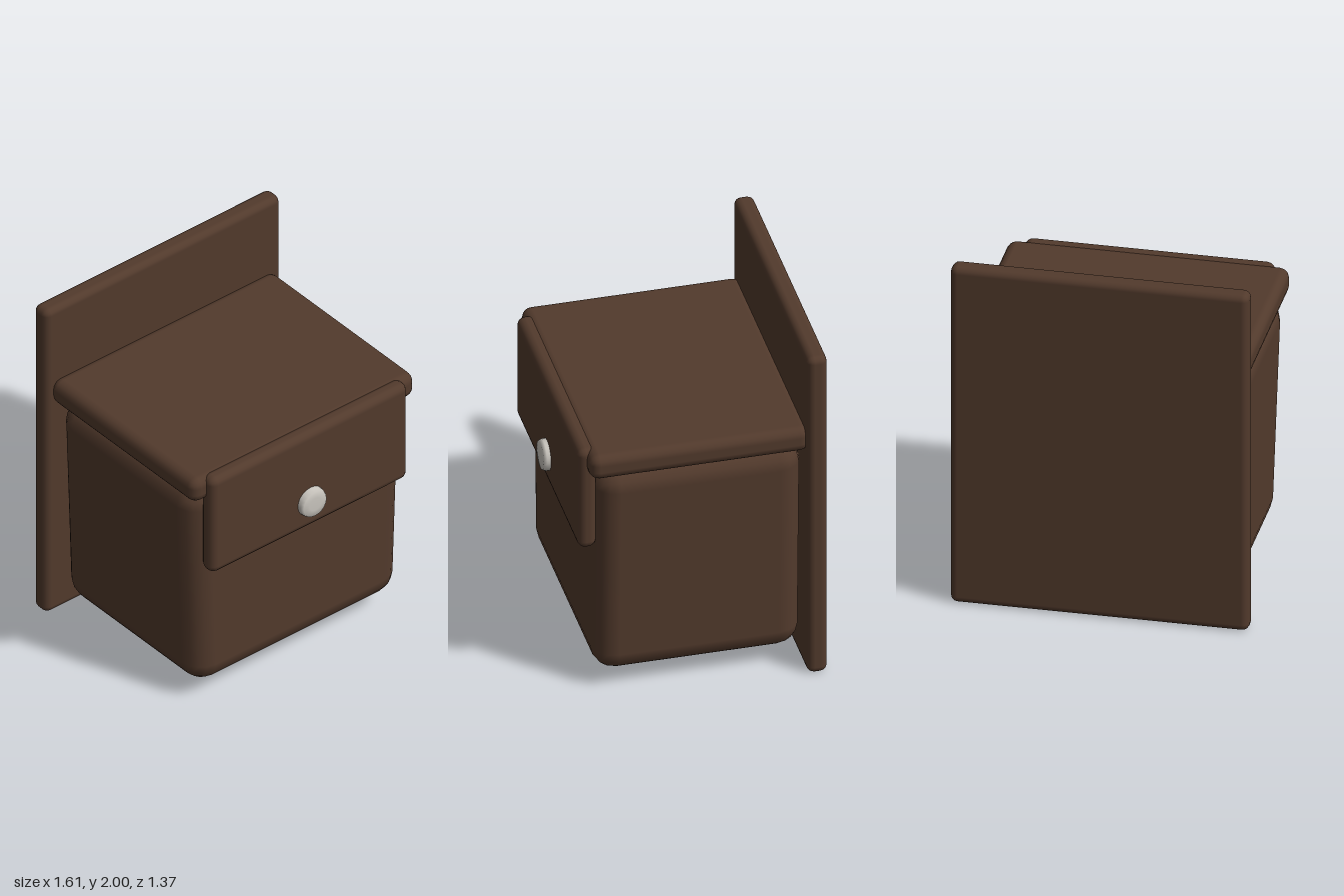
import * as THREE from 'three';
import { RoundedBoxGeometry } from 'three/addons/geometries/RoundedBoxGeometry.js';

const leather = new THREE.MeshStandardMaterial({ color: 0x523a2c });
leather.name = 'brown leather';
const metal = new THREE.MeshStandardMaterial({ color: 0xc9c5be });
metal.name = 'pale metal';

// Soft-edged slab given by its lower and upper corners
function slab(name, min, max, radius) {
  const size = max.map((v, i) => v - min[i]);
  const mesh = new THREE.Mesh(new RoundedBoxGeometry(...size, 2, radius), leather);
  mesh.position.set(...max.map((v, i) => (v + min[i]) / 2));
  mesh.name = name;
  return mesh;
}

export function createModel() {
  const model = new THREE.Group();
  model.name = 'beltPouch';

  model.add(slab('backPlate', [-0.806, 0, -0.683], [0.806, 2, -0.573], 0.04));
  model.add(slab('lid', [-0.762, 1.38, -0.6], [0.762, 1.53, 0.597], 0.055));
  model.add(slab('frontFlap', [-0.675, 0.905, 0.54], [0.675, 1.53, 0.642], 0.045));

  // Pouch body, slightly narrower towards the bottom
  const body = slab('body', [-0.72, 0.095, -0.573], [0.72, 1.4, 0.555], 0.13);
  const pos = body.geometry.attributes.position;
  for (let i = 0; i < pos.count; i++) {
    pos.setX(i, pos.getX(i) * (1 + 0.05 * pos.getY(i)));
  }
  model.add(body);

  // Snap button with a shallow rounded face
  const profile = [[0.088, 0], [0.086, 0.025], [0.078, 0.043], [0.04, 0.046], [0, 0.046]]
    .map(([r, h]) => new THREE.Vector2(r, h));
  const button = new THREE.Mesh(new THREE.LatheGeometry(profile, 20), metal);
  button.name = 'snapButton';
  button.rotation.x = Math.PI / 2;
  button.position.set(0, 1.082, 0.637);
  model.add(button);

  return model;
}
